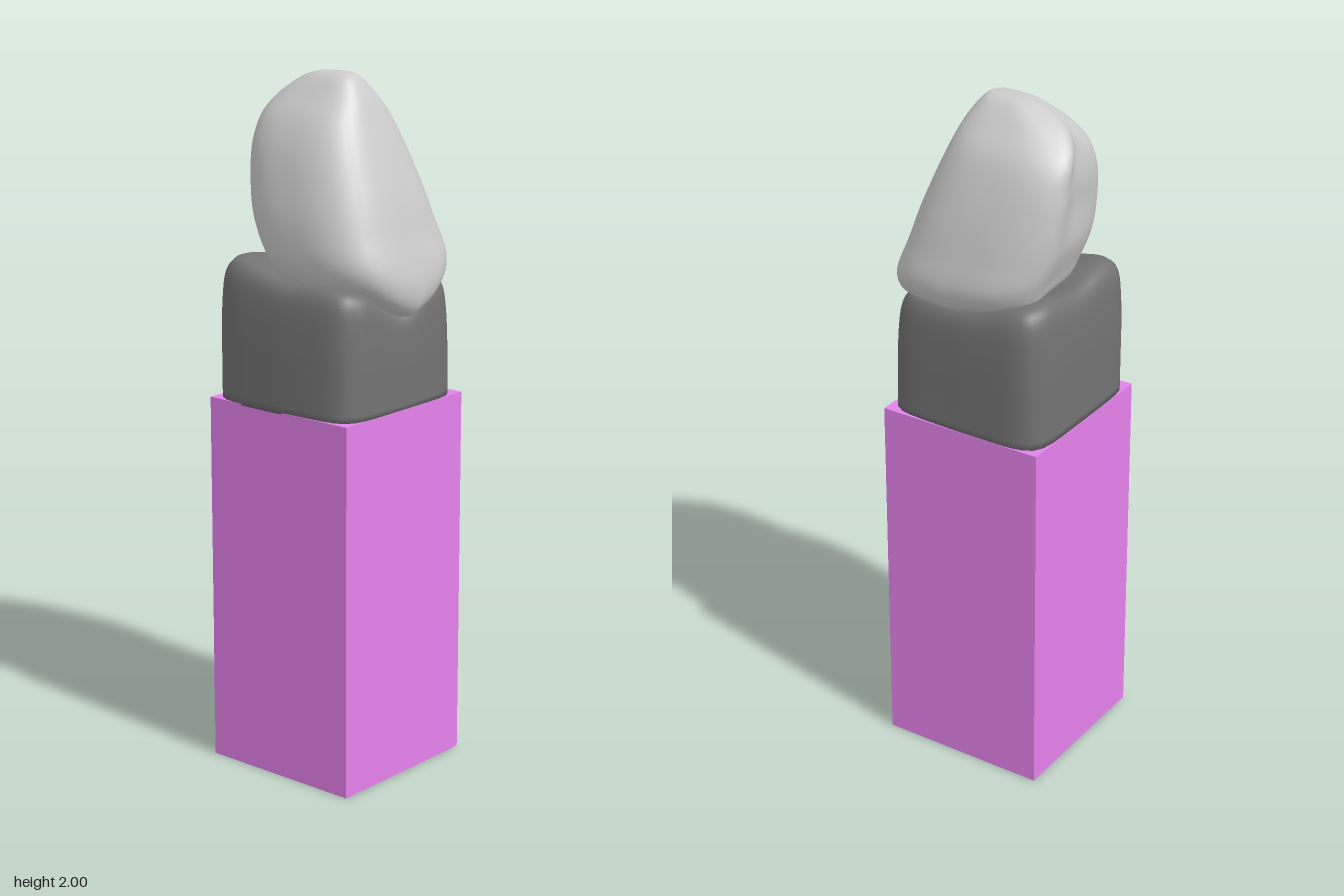
import * as THREE from 'three';

const { lerp, clamp, smoothstep } = THREE.MathUtils;

// Closed loft through stacked rings, capped at both ends; ring(t, angle) gives a point
function loft(ring, rows, sides) {
  const pos = [], index = [];
  for (let i = 0; i <= rows; i++) {
    for (let j = 0; j < sides; j++) pos.push(...ring(i / rows, (j / sides) * Math.PI * 2));
  }
  const id = (i, j) => i * sides + (j % sides);
  for (let i = 0; i < rows; i++) {
    for (let j = 0; j < sides; j++) {
      index.push(id(i, j), id(i + 1, j), id(i, j + 1));
      index.push(id(i, j + 1), id(i + 1, j), id(i + 1, j + 1));
    }
  }
  for (const row of [0, rows]) {
    const mid = [0, 0, 0];
    for (let j = 0; j < sides; j++) for (let k = 0; k < 3; k++) mid[k] += pos[id(row, j) * 3 + k] / sides;
    const c = pos.length / 3;
    pos.push(...mid);
    for (let j = 0; j < sides; j++) {
      if (row === 0) index.push(c, id(row, j), id(row, j + 1));
      else index.push(c, id(row, j + 1), id(row, j));
    }
  }
  const g = new THREE.BufferGeometry();
  g.setAttribute('position', new THREE.Float32BufferAttribute(pos, 3));
  g.setIndex(index);
  g.computeVertexNormals();
  return g;
}

// Point on a rounded square of half-size 1
function rounded(angle, power) {
  const c = Math.cos(angle), s = Math.sin(angle);
  const r = Math.pow(Math.abs(c) ** power + Math.abs(s) ** power, -1 / power);
  return [c * r, s * r];
}

// Smooth curves through the rows of a [a, b, c] table
const curve = (rows) => new THREE.CatmullRomCurve3(rows.map((r) => new THREE.Vector3(...r)), false, 'catmullrom', 0.5);

function toothGeometry() {
  // height, left-hand x, right-hand x, back z, front z
  const rows = [
    [1.42, -0.11, 0.13, -0.11, 0.15],
    [1.435, -0.175, 0.215, -0.185, 0.24],
    [1.5, -0.21, 0.25, -0.215, 0.265],
    [1.6, -0.214, 0.236, -0.245, 0.228],
    [1.7, -0.2, 0.215, -0.262, 0.19],
    [1.8, -0.175, 0.185, -0.268, 0.15],
    [1.88, -0.138, 0.15, -0.25, 0.115],
    [1.94, -0.09, 0.1, -0.2, 0.085],
    [1.985, -0.05, 0.055, -0.12, 0.052],
    [2.0, -0.025, 0.03, -0.07, 0.03],
  ];
  const xs = curve(rows.map((r) => [r[1], r[2], r[0]]));
  const zs = curve(rows.map((r) => [r[3], r[4], r[0]]));
  return loft((t, a) => {
    const px = xs.getPoint(t), pz = zs.getPoint(t);
    let [u, w] = rounded(a, 2.9);
    const y0 = px.z;
    // Ridge on the back, running from the tip out to one corner, with a shallow hollow beside it
    if (w < 0) {
      const centre = lerp(0.78, 0.1, smoothstep(y0, 1.8, 2));
      const ridge = Math.exp(-(((u - centre) / 0.42) ** 2));
      const hollow = Math.exp(-(((u + 0.05) / 0.45) ** 2)) * smoothstep(y0, 1.58, 1.75) * (1 - smoothstep(y0, 1.86, 1.97));
      w *= 0.92 + 0.2 * ridge - 0.08 * hollow;
    }
    // Neck edge dips at the front and lifts at the back
    const low = 1 - smoothstep(y0, 1.42, 1.7);
    const front = clamp(w, 0, 1) ** 5 * (1 - 0.7 * Math.abs(u));
    const y = y0 + low * (-0.085 * front + 0.035 * clamp(-w, 0, 1));
    return [
      lerp(px.x, px.y, (u + 1) / 2),
      y,
      lerp(pz.x, pz.y, (w + 1) / 2),
    ];
  }, 44, 56);
}

function gumGeometry() {
  // height fraction, outline scale
  const profile = curve([
    [0, 1, 0], [0.25, 1, 0], [0.5, 1, 0], [0.72, 0.99, 0],
    [0.88, 0.965, 0], [0.97, 0.9, 0], [1, 0.78, 0], [0.97, 0.55, 0],
  ]);
  return loft((t, a) => {
    const p = profile.getPoint(t);
    const [u, w] = rounded(a, 7);
    const top = lerp(1.44, 1.495, (1 - w) / 2)
      - 0.085 * clamp(w, 0, 1) ** 2 * Math.exp(-((u / 0.5) ** 2))
      - 0.025 * clamp(-w, 0, 1) ** 2 * Math.exp(-((u / 0.5) ** 2))
      - 0.02 * Math.abs(u) * Math.exp(-((w / 0.5) ** 2));
    // Narrows towards the upper front
    const taper = 1 - clamp(w, 0, 1) * lerp(0.03, 0.09, clamp(p.x, 0, 1));
    return [
      -0.003 + 0.252 * u * p.y * taper,
      lerp(1.08, top, p.x),
      -0.017 + 0.251 * w * p.y,
    ];
  }, 28, 64);
}

export function createModel() {
  const model = new THREE.Group();
  const add = (name, geometry, color) => {
    const mesh = new THREE.Mesh(geometry, new THREE.MeshStandardMaterial({ color }));
    mesh.name = name;
    model.add(mesh);
    return mesh;
  };

  // Square post
  add('post', new THREE.BoxGeometry(0.505, 1.085, 0.505), 0xe582ec).position.set(-0.002, 0.5425, -0.0175);
  // Soft-edged gum block on the post
  add('gum', gumGeometry(), 0x737373);
  // Pointed tooth crown
  add('toothCrown', toothGeometry(), 0xcccccc);

  return model;
}
